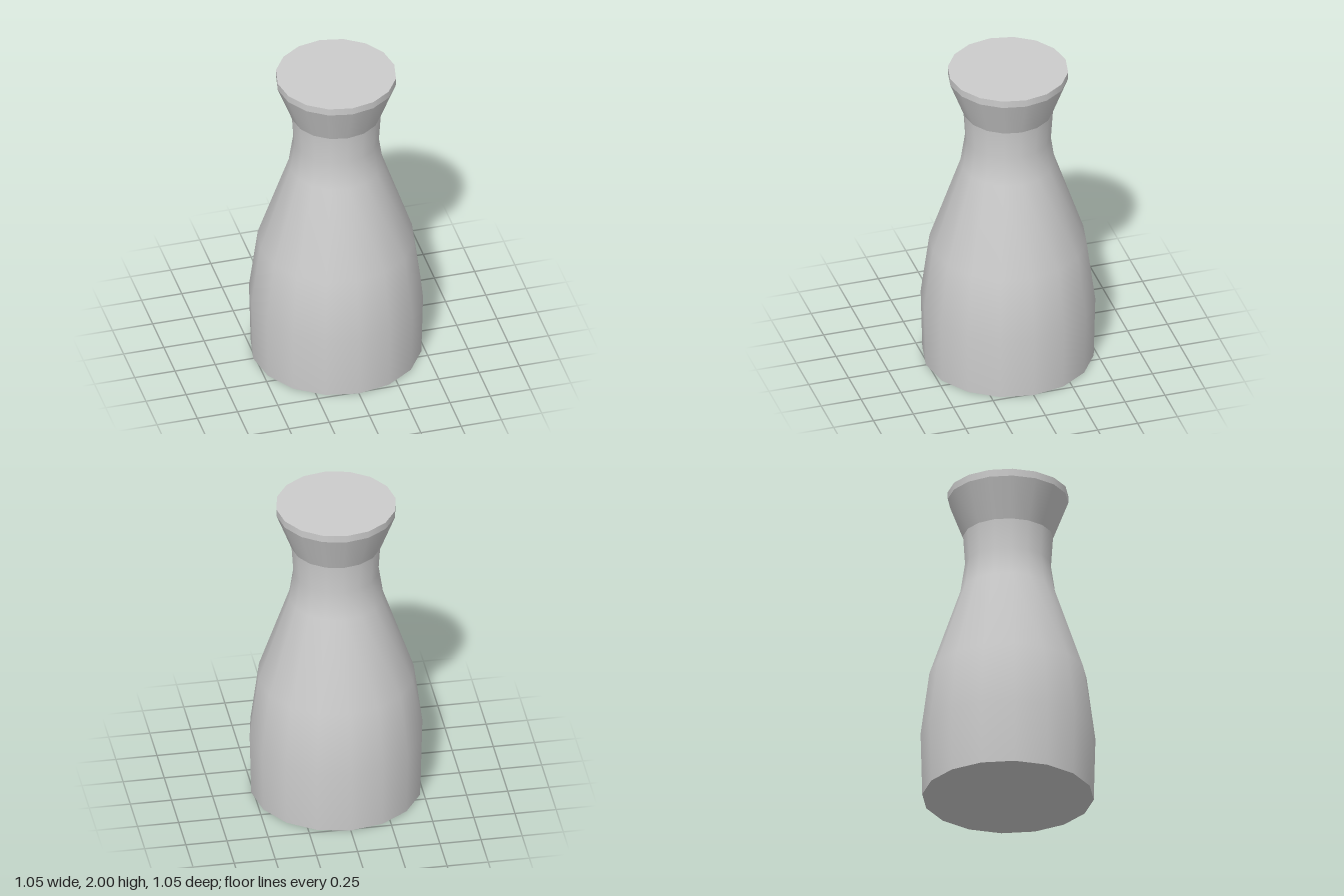
import * as THREE from 'three';

const SIDES = 16;

export function createModel() {
  const group = new THREE.Group();
  const material = new THREE.MeshStandardMaterial({ color: 0xcccccc });

  const add = (name, geometry) => {
    const mesh = new THREE.Mesh(geometry, material);
    mesh.name = name;
    group.add(mesh);
    return mesh;
  };

  // Smooth turned section; separate sections keep the edges between them sharp
  const turned = (name, profile) =>
    add(name, new THREE.LatheGeometry(profile.map(([r, y]) => new THREE.Vector2(r, y)), SIDES));

  // Flat closing disc, facing up or down
  const disc = (name, radius, y, up) => {
    const mesh = add(name, new THREE.CircleGeometry(radius, SIDES));
    mesh.rotation.x = up ? -Math.PI / 2 : Math.PI / 2;
    mesh.position.y = y;
  };

  // Belly, shoulder and neck
  turned('body', [
    [0.515, 0], [0.525, 0.4], [0.472, 0.8], [0.285, 1.35], [0.258, 1.53], [0.27, 1.715],
  ]);

  // Flared mouth and its upright rim
  turned('flare', [[0.27, 1.715], [0.362, 1.955]]);
  turned('rim', [[0.362, 1.955], [0.362, 2]]);

  // Closed top and base
  disc('top', 0.362, 2, true);
  disc('base', 0.515, 0, false);

  return group;
}
